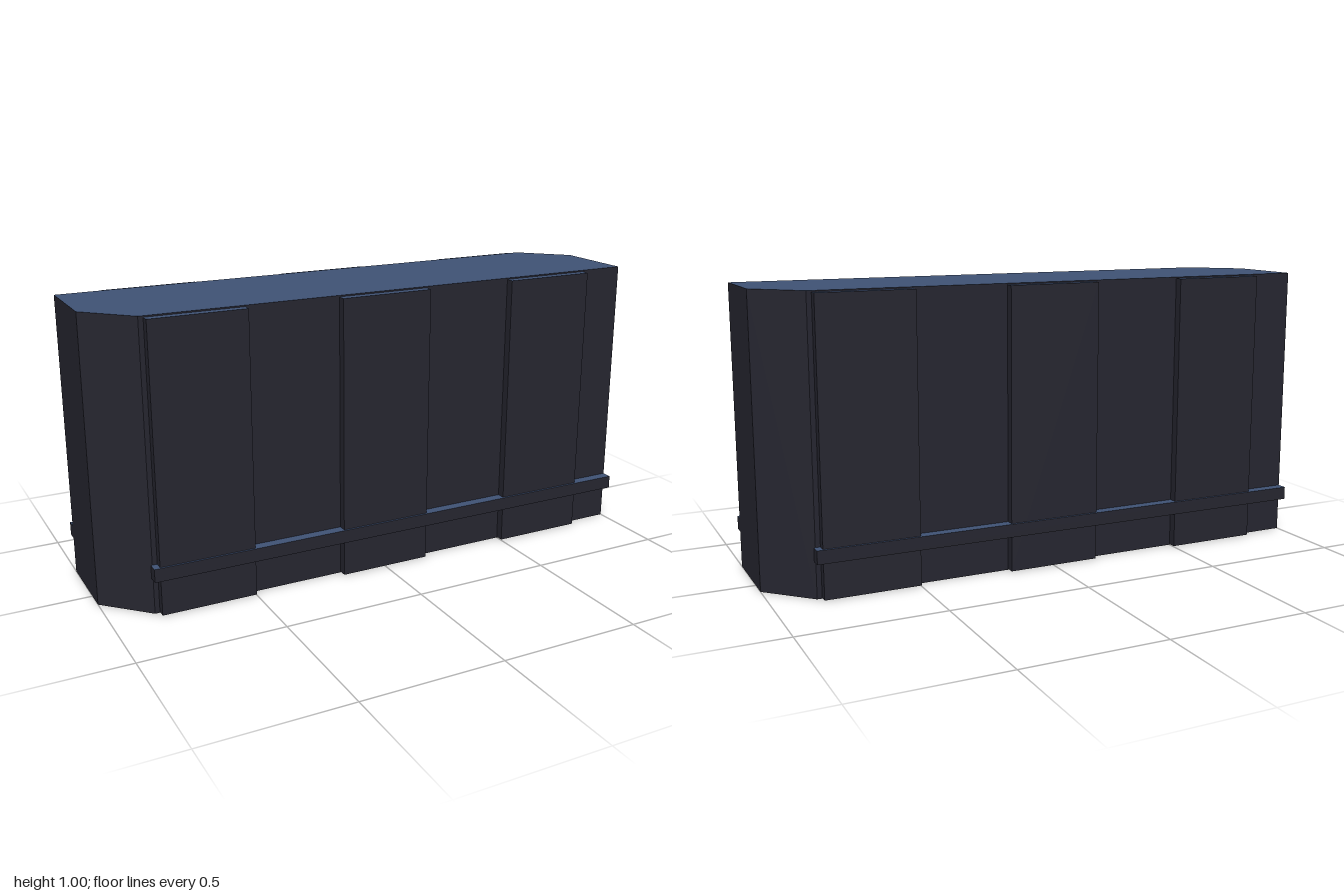
import * as THREE from 'three';

const dark = new THREE.MeshStandardMaterial({ color: 0x262630 });
dark.name = 'charcoal';
const blue = new THREE.MeshStandardMaterial({ color: 0x405376 });
blue.name = 'slate blue';

// Box given by its limits, with a blue upper face
function block(name, x0, x1, y0, y1, z0, z1) {
  const geometry = new THREE.BoxGeometry(x1 - x0, y1 - y0, z1 - z0);
  const mesh = new THREE.Mesh(geometry, [dark, dark, blue, dark, dark, dark]);
  mesh.position.set((x0 + x1) / 2, (y0 + y1) / 2, (z0 + z1) / 2);
  mesh.name = name;
  return mesh;
}

// Six-sided slab with two opposite corners cut off
function makeBody() {
  const outline = [[-1, -0.07], [-0.85, -0.22], [1, -0.22], [1, 0.07], [0.85, 0.22], [-1, 0.22]];
  const shape = new THREE.Shape(outline.map(([x, y]) => new THREE.Vector2(x, y)));
  const geometry = new THREE.ExtrudeGeometry(shape, { depth: 1, bevelEnabled: false });
  geometry.rotateX(-Math.PI / 2);
  // The first group holds the lower cap, then the upper cap
  const [caps, sides] = geometry.groups;
  const half = caps.count / 2;
  geometry.clearGroups();
  geometry.addGroup(caps.start, half, 0);
  geometry.addGroup(caps.start + half, half, 1);
  geometry.addGroup(sides.start, sides.count, 0);
  const body = new THREE.Mesh(geometry, [dark, blue]);
  body.name = 'body';
  return body;
}

// Raised panels and the horizontal rail of one long face
function makeFace(name) {
  const face = new THREE.Group();
  face.name = name;
  for (const x of [-2 / 3, 0, 2 / 3]) {
    face.add(block('raisedPanel', x - 1 / 6, x + 1 / 6, 0.003, 0.995, 0.22, 0.25));
  }
  face.add(block('rail', -0.855, 1, 0.128, 0.175, 0.22, 0.257));
  return face;
}

export function createModel() {
  const model = new THREE.Group();
  model.name = 'wallSegment';
  const front = makeFace('frontFace');
  const back = makeFace('backFace');
  back.rotation.y = Math.PI;
  model.add(makeBody(), front, back);
  return model;
}
